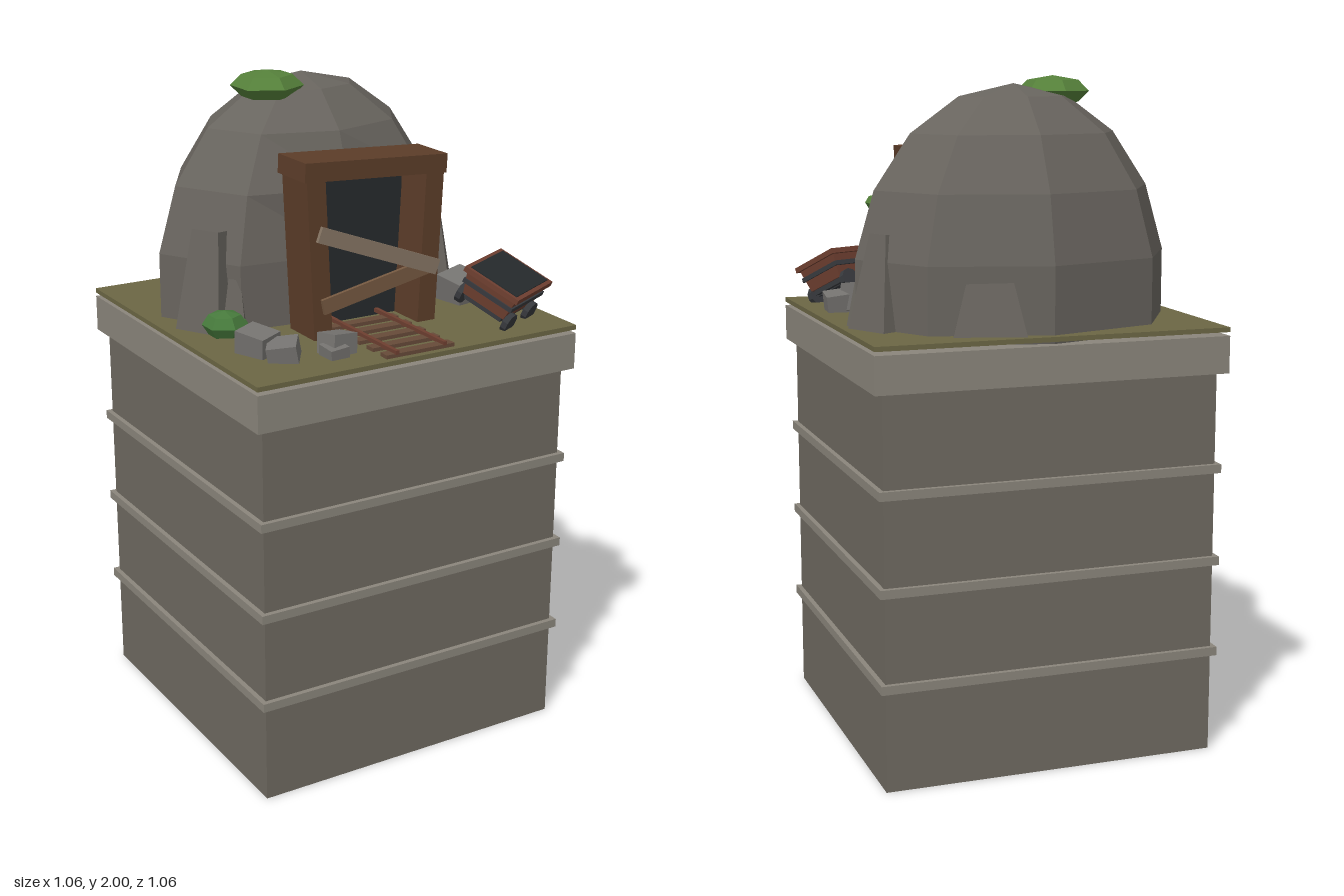
import * as THREE from 'three';

const mat = (color) => new THREE.MeshStandardMaterial({ color, flatShading: true });
const M = {
  wall: mat(0x6e6960), trim: mat(0x8a857b), grass: mat(0x6b6644), rock: mat(0x68645e),
  stone: mat(0x757370), bush: mat(0x55803a), bushDark: mat(0x477a3c), wood: mat(0x5c3d29), plankA: mat(0x857463),
  plankB: mat(0x745840), dark: mat(0x262a2c), rust: mat(0x6e3f30), iron: mat(0x37393d), sleeper: mat(0x664a38),
};

function add(parent, name, geo, material, pos = [0, 0, 0], rot = [0, 0, 0]) {
  const m = new THREE.Mesh(geo, material);
  m.name = name;
  m.position.set(...pos);
  m.rotation.set(rot[0], rot[1], rot[2], 'YXZ');
  parent.add(m);
  return m;
}
const box = (w, h, d) => new THREE.BoxGeometry(w, h, d);

// Box whose top face is scaled by sx, sz
function taperedBox(w, h, d, sx, sz) {
  const g = box(w, h, d), p = g.attributes.position;
  for (let i = 0; i < p.count; i++) {
    if (p.getY(i) > 0) p.setXYZ(i, p.getX(i) * sx, p.getY(i), p.getZ(i) * sz);
  }
  return g;
}

function buildTower(root) {
  const g = new THREE.Group();
  g.name = 'tower';
  add(g, 'towerBody', box(1.01, 1.16, 1.01), M.wall, [0, 0.58, 0]);
  for (const y of [0.31, 0.59, 0.87]) add(g, 'towerBand', box(1.04, 0.026, 1.04), M.trim, [0, y, 0]);
  add(g, 'towerCap', box(1.064, 0.11, 1.064), M.trim, [0, 1.21, 0]);
  add(g, 'grassPlate', box(1.064, 0.014, 1.064), M.grass, [0, 1.283, 0]);
  root.add(g);
}

function buildHill(root) {
  const g = new THREE.Group();
  g.name = 'hill';
  // Faceted dome with its front pressed flat behind the entrance
  const dome = new THREE.SphereGeometry(1, 8, 6, 0, Math.PI * 2, 0, Math.PI * 2 / 3);
  dome.scale(0.49, 0.6, 0.35).translate(0, 1.38, -0.16);
  const p = dome.attributes.position;
  for (let i = 0; i < p.count; i++) p.setZ(i, Math.min(p.getZ(i), 0.12));
  add(g, 'dome', dome, M.rock);
  // Outcrops around the foot: x, z, facing angle, width, height, depth, top taper
  const outcrops = [
    [-0.405, 0.0, -1.05, 0.15, 0.30, 0.09, 0.6],
    [-0.345, 0.055, -0.6, 0.07, 0.16, 0.08, 0.5],
    [0.375, 0.025, 0.9, 0.07, 0.32, 0.06, 0.15],
    [0.43, -0.11, 1.1, 0.13, 0.31, 0.07, 0.12],
    [0.425, -0.225, 2.05, 0.15, 0.28, 0.09, 0.45],
    [0.17, -0.44, 2.85, 0.21, 0.17, 0.07, 0.6],
  ];
  for (const [x, z, yaw, w, h, d, t] of outcrops) {
    add(g, 'outcrop', taperedBox(w, h, d, t, 0.6), M.rock, [x, 1.28 + h / 2, z], [-0.12, yaw, 0]);
  }
  root.add(g);
}

function buildBushes(root) {
  // x, y, z, radius, half height
  const bushes = [
    [-0.14, 1.957, -0.115, 0.108, 0.045, M.bush],
    [-0.422, 1.338, 0.135, 0.066, 0.042, M.bushDark],
    [-0.375, 1.318, 0.115, 0.04, 0.03, M.bushDark],
    [0.382, 1.637, -0.058, 0.04, 0.026, M.bush],
  ];
  for (const [x, y, z, r, h, m] of bushes) {
    const geo = new THREE.SphereGeometry(1, 6, 4).rotateY(Math.PI / 6).scale(r, h, r);
    add(root, 'bush', geo, m, [x, y, z]);
  }
}

function buildEntrance(root) {
  const g = new THREE.Group();
  g.name = 'mineEntrance';
  add(g, 'darkOpening', box(0.33, 0.45, 0.06), M.dark, [0, 1.505, 0.115]);
  for (const s of [-1, 1]) {
    add(g, 'doorPost', box(0.06, 0.47, 0.14), M.wood, [s * 0.187, 1.52, 0.202], [0, 0, -s * 0.05]);
  }
  add(g, 'lintel', box(0.472, 0.055, 0.155), M.wood, [0, 1.77, 0.198], [0, 0, -0.05]);
  // Boards nailed across
  add(g, 'upperBoard', box(0.425, 0.046, 0.012), M.plankA, [0.003, 1.53, 0.284], [0, 0, -0.36]);
  add(g, 'lowerBoard', box(0.37, 0.045, 0.012), M.plankB, [0.0, 1.425, 0.277], [0, 0, 0.2]);
  root.add(g);
}

function buildTrack(root) {
  const g = new THREE.Group();
  g.name = 'track';
  for (const x of [-0.08, 0.08]) add(g, 'rail', box(0.012, 0.012, 0.38), M.rust, [x, 1.305, 0.325]);
  for (let i = 0; i < 5; i++) add(g, 'sleeper', box(0.226, 0.012, 0.034), M.sleeper, [0, 1.295, 0.495 - i * 0.073]);
  root.add(g);
}

function buildCart(root) {
  // Origin at the centre of the rim, tipped towards the front
  const g = new THREE.Group();
  g.name = 'mineCart';
  g.position.set(0.383, 1.434, 0.397);
  g.rotation.set(0.42, 0.48, 0, 'YXZ');
  add(g, 'cartBody', taperedBox(0.19, 0.085, 0.145, 1.12, 1.22), M.rust, [0, -0.045, 0]);
  add(g, 'cartRim', box(0.228, 0.016, 0.19), M.rust, [0, -0.008, 0]);
  add(g, 'cartBand', box(0.212, 0.014, 0.174), M.iron, [0, -0.045, 0]);
  add(g, 'cartLoad', box(0.204, 0.006, 0.164), M.dark, [0, 0.0, 0]);
  add(g, 'cartFrame', box(0.18, 0.018, 0.13), M.iron, [0, -0.094, 0]);
  for (const x of [-0.068, 0.068]) {
    add(g, 'axle', box(0.012, 0.012, 0.17), M.iron, [x, -0.1, 0]);
    for (const z of [-0.083, 0.083]) {
      add(g, 'wheel', new THREE.CylinderGeometry(0.032, 0.032, 0.018, 10), M.iron, [x, -0.1, z], [Math.PI / 2, 0, 0]);
    }
  }
  root.add(g);
}

function buildStones(root) {
  // x, z, width, height, depth, yaw, tilt
  const stones = [
    [-0.397, 0.285, 0.08, 0.07, 0.1, 0.4, 0.1],
    [-0.36, 0.367, 0.085, 0.055, 0.08, -0.6, 0.15],
    [-0.2, 0.388, 0.085, 0.06, 0.075, 0.2, -0.12],
    [-0.225, 0.415, 0.06, 0.035, 0.065, 0.05, 0.08],
    [0.38, 0.148, 0.1, 0.085, 0.1, 0.2, 0.15],
    [0.445, 0.173, 0.085, 0.06, 0.085, -0.08, -0.12],
  ];
  for (const [x, z, w, h, d, yaw, tilt] of stones) {
    add(root, 'stone', box(w, h, d), M.stone, [x, 1.288 + h / 2, z], [tilt, yaw, tilt]);
  }
}

export function createModel() {
  const root = new THREE.Group();
  root.name = 'mineTower';
  for (const build of [buildTower, buildHill, buildBushes, buildEntrance, buildTrack, buildCart, buildStones]) build(root);
  return root;
}
